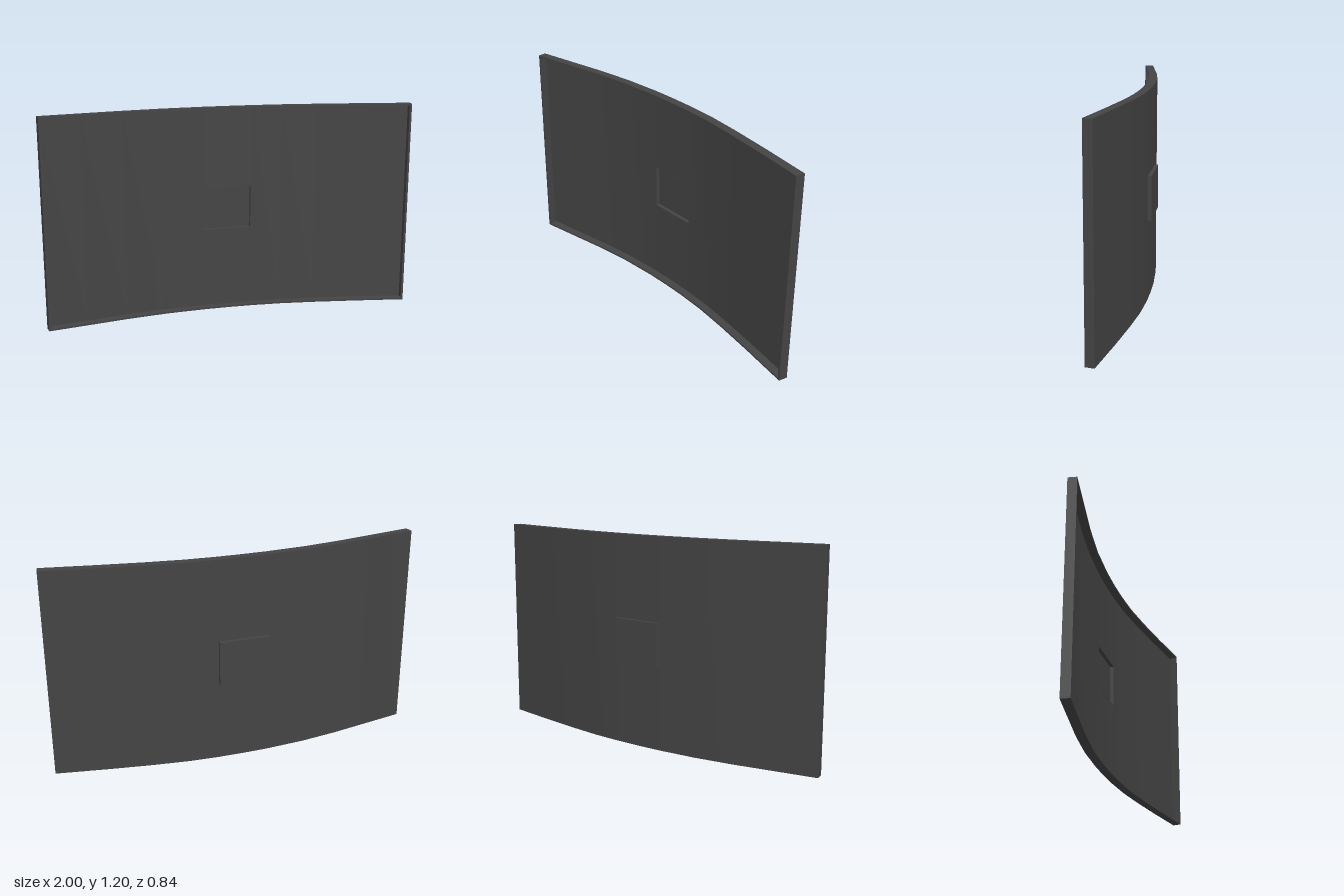
import * as THREE from 'three';
import { toCreasedNormals } from 'three/addons/utils/BufferGeometryUtils.js';

const HEIGHT = 1.198, DEPTH = 0.05, RIM = 0.01, SKIN = 0.003;
const PLATE_Y0 = 0.473, PLATE_Y1 = 0.728, PLATE_DEPTH = 0.022;

// Back curve of the panel in plan, as [x, z]
const CURVE = [
  [-1, 0.375], [-0.99, 0.369], [-0.8, 0.25], [-0.6, 0.125], [-0.4, 0.012], [-0.19, -0.088],
  [-0.05, -0.146], [0.08, -0.195], [0.25, -0.251], [0.45, -0.303], [0.7, -0.36],
  [0.975, -0.4175], [0.987, -0.42],
];
const PLATE_START = 5, PLATE_END = 7;

// Adds the forward normal to each point of a plan curve
function stations(points) {
  return points.map(([x, z], i) => {
    const a = points[Math.max(i - 1, 0)], b = points[Math.min(i + 1, points.length - 1)];
    const dx = b[0] - a[0], dz = b[1] - a[1], length = Math.hypot(dx, dz);
    return { x, z, nx: -dz / length, nz: dx / length };
  });
}

export function createModel() {
  const group = new THREE.Group();
  const material = new THREE.MeshStandardMaterial({ color: 0x444444, side: THREE.DoubleSide });

  // A slab that follows the curve from depth d0 to d1 and height y0 to y1
  function slab(name, line, d0, d1, y0, y1) {
    const offset = (s, d) => new THREE.Vector2(s.x + s.nx * d, -(s.z + s.nz * d));
    const outline = [
      ...line.map((s) => offset(s, d0)),
      ...[...line].reverse().map((s) => offset(s, d1)),
    ];
    const geometry = new THREE.ExtrudeGeometry(new THREE.Shape(outline), { depth: y1 - y0, bevelEnabled: false });
    geometry.rotateX(-Math.PI / 2).translate(0, y0, 0);
    const mesh = new THREE.Mesh(toCreasedNormals(geometry, 0.5), material);
    mesh.name = name;
    group.add(mesh);
  }

  const panel = stations(CURVE);
  const last = panel.length - 1;

  // Thin back skin, left open where the rear plate is pressed out
  slab('backPanelRight', panel.slice(0, PLATE_START + 1), 0, SKIN, 0, HEIGHT);
  slab('backPanelLeft', panel.slice(PLATE_END), 0, SKIN, 0, HEIGHT);
  const middle = panel.slice(PLATE_START, PLATE_END + 1);
  slab('backPanelLower', middle, 0, SKIN, 0, PLATE_Y0);
  slab('backPanelUpper', middle, 0, SKIN, PLATE_Y1, HEIGHT);

  // Rim around the open front
  slab('rimBottom', panel, 0, DEPTH, 0, RIM);
  slab('rimTop', panel, 0, DEPTH, HEIGHT - RIM, HEIGHT);
  slab('rimRight', panel.slice(0, 2), 0, DEPTH, RIM, HEIGHT - RIM);
  slab('rimLeft', panel.slice(last - 1), 0, DEPTH, RIM, HEIGHT - RIM);

  // Flat mounting plate: a shallow tray behind the panel, hollow from the front
  const start = CURVE[PLATE_START], end = CURVE[PLATE_END];
  const along = (t) => [0, 1].map((k) => start[k] + (end[k] - start[k]) * t);
  const plate = stations([0, 0.01, 0.99, 1].map(along));
  slab('plateFace', plate, -PLATE_DEPTH, -PLATE_DEPTH + SKIN, PLATE_Y0, PLATE_Y1);
  slab('plateBottomWall', plate, -PLATE_DEPTH, SKIN, PLATE_Y0, PLATE_Y0 + SKIN);
  slab('plateTopWall', plate, -PLATE_DEPTH, SKIN, PLATE_Y1 - SKIN, PLATE_Y1);
  slab('plateRightWall', plate.slice(0, 2), -PLATE_DEPTH, SKIN, PLATE_Y0, PLATE_Y1);
  slab('plateLeftWall', plate.slice(2), -PLATE_DEPTH, SKIN, PLATE_Y0, PLATE_Y1);

  return group;
}
